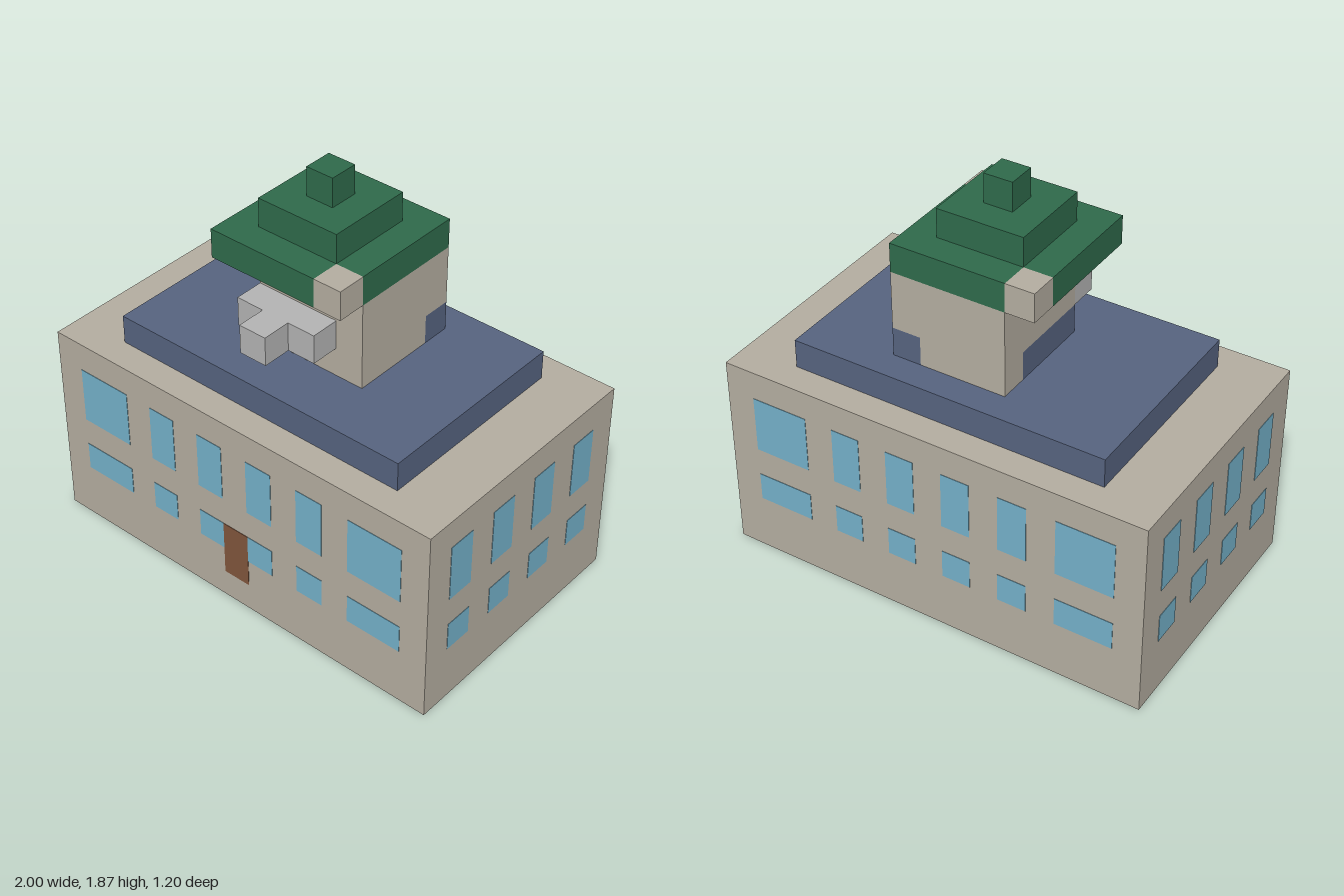
import * as THREE from 'three';

const U = 2 / 15; // one block
const material = (color) => new THREE.MeshStandardMaterial({ color });

export function createModel() {
  const model = new THREE.Group();
  const stone = material(0xb4ada0);
  const slate = material(0x56637f);
  const copper = material(0x2f6a4b);
  const glass = material(0x74b0c9);
  const wood = material(0x80553c);
  const metal = material(0xb3b3b3);

  const group = (name, parent = model) => {
    const g = new THREE.Group();
    g.name = name;
    parent.add(g);
    return g;
  };

  // Box between two corners, measured in blocks
  function block(name, mat, [x0, x1], [y0, y1], [z0, z1], parent = model) {
    const mesh = new THREE.Mesh(
      new THREE.BoxGeometry((x1 - x0) * U, (y1 - y0) * U, (z1 - z0) * U), mat);
    mesh.position.set((x0 + x1) / 2 * U, (y0 + y1) / 2 * U, (z0 + z1) / 2 * U);
    mesh.name = name;
    parent.add(mesh);
  }

  // Main building and stepped roof
  block('mainBuilding', stone, [-7.5, 7.5], [0, 7], [-4.5, 4.5]);
  block('flatRoof', slate, [-5.5, 5.5], [7, 8], [-3.5, 3.5]);

  // Walls: flush panels on each side, facing +z before turning
  const longColumns = [[-6.5, -4.5], [-3.5, -2.5], [-1.5, -0.5], [0.5, 1.5], [2.5, 3.5], [4.5, 6.5]];
  const shortColumns = [[-3.5, -2.5], [-1.5, -0.5], [0.5, 1.5], [2.5, 3.5]];
  const rows = [[2, 3], [4, 6]];
  const walls = [
    ['front', longColumns, 4.5, 0],
    ['left', shortColumns, 7.5, Math.PI / 2],
    ['back', longColumns, 4.5, Math.PI],
    ['right', shortColumns, 7.5, -Math.PI / 2],
  ];
  for (const [side, columns, distance, turn] of walls) {
    const wall = group(side + 'Windows');
    wall.rotation.y = turn;
    const depth = [distance - 0.05, distance + 0.015];
    for (const row of rows) {
      for (const column of columns) block('window', glass, column, row, depth, wall);
    }
  }
  block('frontDoor', wood, [-0.5, 0.5], [1, 3], [4.45, 4.515]);

  // Tower with slate blocks set into its lowest course
  const tower = group('tower');
  block('towerWall', stone, [-1.5, 2.5], [9, 11], [-2.5, 1.5], tower);
  block('towerBase', stone, [-0.5, 2.5], [8, 9], [-1.5, 1.5], tower);
  block('towerBaseBack', stone, [-1.5, 1.5], [8, 9], [-2.5, -1.5], tower);
  block('slateCourse', slate, [-1.5, -0.5], [8, 9], [-1.5, 1.5], tower);
  block('slateCorner', slate, [1.5, 2.5], [8, 9], [-2.5, -1.5], tower);

  // Bracket on the tower front
  const bracket = group('bracket');
  block('bracketBar', metal, [-1.5, 1.5], [9, 10], [1.5, 2.5], bracket);
  block('bracketNose', metal, [-0.5, 0.5], [9, 10], [2.5, 3.5], bracket);

  // Stepped tower roof, with stone at two opposite eave corners
  const roof = group('towerRoof');
  block('eaves', copper, [-2.5, 2.5], [11, 12], [-1.5, 1.5], roof);
  block('frontEaves', copper, [-2.5, 1.5], [11, 12], [1.5, 2.5], roof);
  block('backEaves', copper, [-1.5, 2.5], [11, 12], [-2.5, -1.5], roof);
  block('frontCornerStone', stone, [1.5, 2.5], [11, 12], [1.5, 2.5], roof);
  block('backCornerStone', stone, [-2.5, -1.5], [11, 12], [-2.5, -1.5], roof);
  block('upperRoof', copper, [-1.5, 1.5], [12, 13], [-1.5, 1.5], roof);
  block('finial', copper, [-0.5, 0.5], [13, 14], [-0.5, 0.5], roof);

  return model;
}
